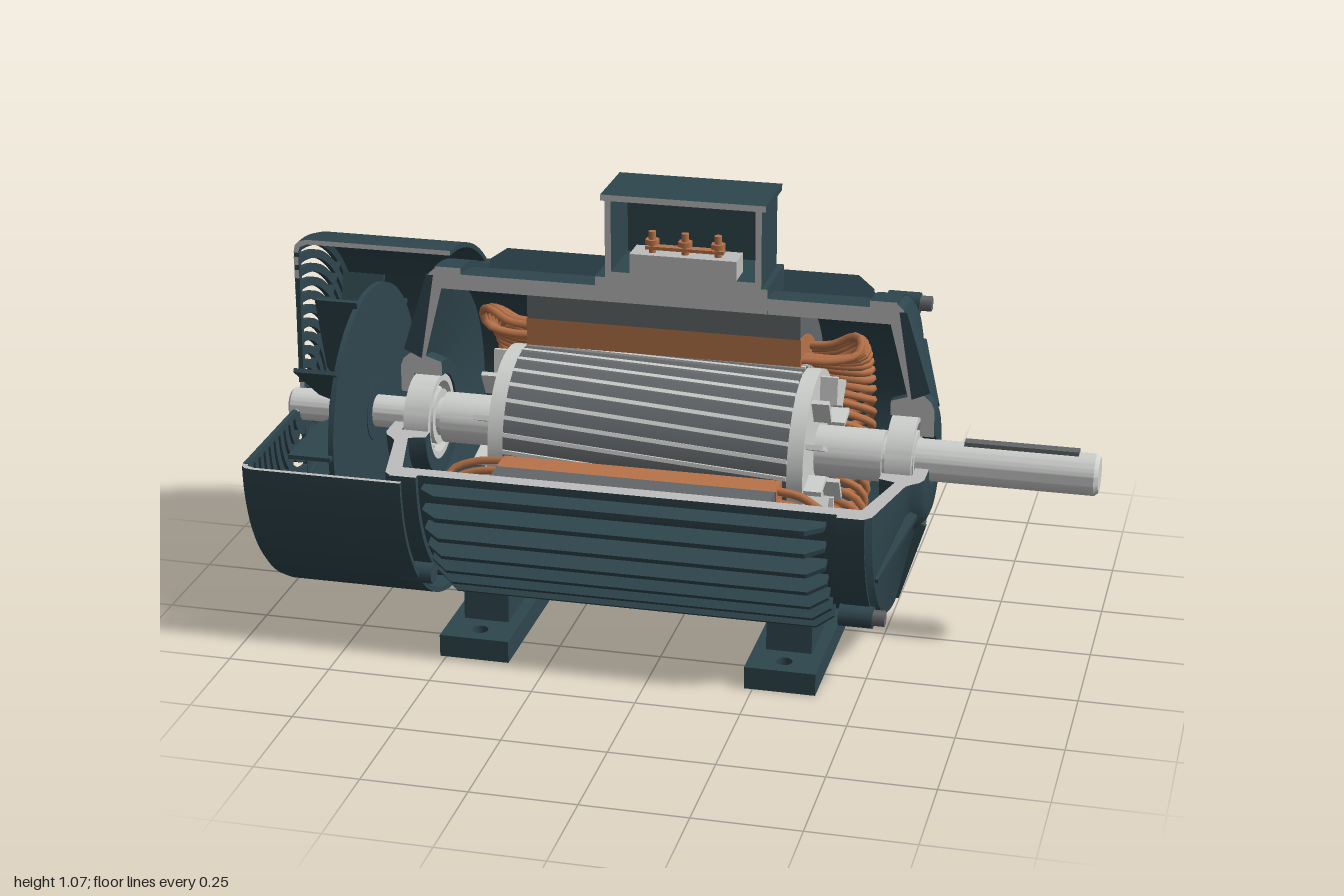
import * as THREE from 'three';
import { toCreasedNormals } from 'three/addons/utils/BufferGeometryUtils.js';

const AXIS = 0.467;              // height of the shaft centre line
const OPEN = Math.PI * 1.5;      // three quarters kept, front upper quarter cut away
const rad = THREE.MathUtils.degToRad;

function paint(name, color) {
  const m = new THREE.MeshStandardMaterial({ color });
  m.name = name;
  return m;
}

export function createModel() {
  const body = paint('dark teal paint', 0x2f464e);
  const cut = paint('cut metal', 0xbcbebc);
  const steel = paint('bright steel', 0xcfd1cf);
  const core = paint('lamination grey', 0x63676a);
  const copper = paint('copper', 0xb8734a);
  for (const m of [body, copper, core]) m.side = THREE.DoubleSide;

  const model = new THREE.Group();
  model.name = 'cutawayMotor';
  const drive = new THREE.Group(); // everything placed about the shaft line
  drive.name = 'motorOnAxis';
  drive.position.y = AXIS;
  model.add(drive);

  const add = (name, geo, mat, parent = drive) => {
    const mesh = new THREE.Mesh(geo, mat);
    mesh.name = name;
    parent.add(mesh);
    return mesh;
  };
  const mirror = pts => pts.map(([x, r]) => [-0.11 - x, r]);
  const rect = (x0, x1, r0, r1) => [[x0, r0], [x1, r0], [x1, r1], [x0, r1]];
  const shapeOf = (pts, s = 1) => new THREE.Shape(pts.map(([x, r]) => new THREE.Vector2(x, r * s)));

  // Closed [x, radius] profile turned about the shaft line
  function turn(name, pts, mat, angle = Math.PI * 2, segs = 64) {
    let p = pts.map(([x, r]) => new THREE.Vector2(r, x));
    if (THREE.ShapeUtils.area(p) < 0) p.reverse();
    p.push(p[0].clone());
    const g = new THREE.LatheGeometry(p, segs, 0, angle);
    g.rotateZ(-Math.PI / 2);
    return add(name, toCreasedNormals(g, 0.5), mat);
  }
  // The same over three quarters, with both cut faces closed
  function turnCut(name, pts, mat, capMat = cut) {
    turn(name, pts, mat, OPEN, 72);
    add(name + 'UprightCut', new THREE.ShapeGeometry(shapeOf(pts)), capMat);
    const flat = new THREE.ShapeGeometry(shapeOf(pts, -1));
    flat.rotateX(-Math.PI / 2);
    add(name + 'LevelCut', flat, capMat);
  }
  // Flat radial plate drawn in [x, radius] and swung to an angle
  function plate(name, pts, thick, deg, mat) {
    const g = new THREE.ExtrudeGeometry(shapeOf(pts), { depth: thick, bevelEnabled: false });
    g.translate(0, 0, -thick / 2);
    g.rotateX(rad(deg + 90));
    return add(name, g, mat);
  }
  const box = (name, x0, x1, y0, y1, z0, z1, mat) => {
    const g = new THREE.BoxGeometry(x1 - x0, y1 - y0, z1 - z0);
    g.translate((x0 + x1) / 2, (y0 + y1) / 2, (z0 + z1) / 2);
    return add(name, g, mat, model);
  };
  const at = (x, r, phi) => new THREE.Vector3(x, -r * Math.sin(phi), r * Math.cos(phi));

  // Frame with end flanges
  turnCut('frame', [[-0.62, 0.333], [-0.62, 0.388], [-0.555, 0.388], [-0.555, 0.372],
    [0.445, 0.372], [0.445, 0.388], [0.51, 0.388], [0.51, 0.333]], body);

  // Cooling fins
  const fin = [[-0.54, 0.36], [-0.54, 0.4], [-0.5, 0.43], [0.38, 0.43], [0.42, 0.4], [0.42, 0.36]];
  for (let a = 30; a <= 142; a += 8) {
    plate('coolingFin', fin, 0.012, 270 - a, body);
    if (a > 90) plate('coolingFin', fin, 0.012, a - 90, body);
  }

  // End shields with ribs, lugs and bolts
  const shield = [[0.495, 0.333], [0.511, 0.384], [0.525, 0.37], [0.568, 0.175], [0.58, 0.16],
    [0.597, 0.145], [0.605, 0.125], [0.605, 0.058], [0.572, 0.058], [0.572, 0.106],
    [0.5, 0.106], [0.5, 0.142], [0.54, 0.155]];
  const rib = [[0.515, 0.365], [0.533, 0.365], [0.594, 0.17], [0.55, 0.15]];
  for (const flip of [p => p, mirror]) {
    turnCut('endShield', flip(shield), body);
    for (const d of [30, 90, 150, 210, 269]) plate('shieldRib', flip(rib), 0.014, d, body);
    const s = flip([[1, 0]])[0][0] > 0 ? 1 : -1;
    for (const d of [45, 135, 225]) {
      const rod = (name, r, len, x, n, mat) => {
        const g = new THREE.CylinderGeometry(r, r, len, n);
        g.rotateZ(Math.PI / 2);
        add(name, g, mat).position.copy(at(-0.055 + s * (x + 0.055), 0.408, rad(d)));
      };
      rod('boltLug', 0.026, 0.08, 0.48, 16, body);
      rod('bolt', 0.019, 0.03, 0.533, 6, core);
    }
    // Bearing: inner race, balls and outer race
    turn('bearingInnerRace', flip(rect(0.505, 0.568, 0.045, 0.068)), steel);
    turn('bearingOuterRace', flip(rect(0.505, 0.568, 0.088, 0.105)), steel);
    for (let i = 0; i < 12; i++) {
      add('bearingBall', new THREE.SphereGeometry(0.014, 12, 8), steel)
        .position.copy(at(flip([[0.537, 0]])[0][0], 0.078, i * Math.PI / 6));
    }
  }

  // Fan cover with slotted rear grille
  turnCut('fanCover', [[-0.58, 0.43], [-0.945, 0.43], [-0.965, 0.425], [-0.976, 0.414], [-0.98, 0.395],
    [-0.968, 0.395], [-0.963, 0.41], [-0.945, 0.418], [-0.58, 0.418]], body);
  turnCut('grilleHub', rect(-0.98, -0.968, 0.042, 0.075), body);
  for (let r = 0.091; r < 0.39; r += 0.034) turnCut('grilleRing', rect(-0.98, -0.968, r, r + 0.021), body);
  for (let d = 1; d < 270; d += 44.6) plate('grilleSpoke', rect(-0.979, -0.967, 0.06, 0.4), 0.016, d, body);

  // Cooling fan
  turn('fanDisc', rect(-0.795, -0.782, 0.04, 0.318), body);
  turn('fanHub', rect(-0.88, -0.78, 0.038, 0.075), body);
  for (let i = 0; i < 10; i++) {
    plate('fanBlade', [[-0.89, 0.13], [-0.89, 0.335], [-0.785, 0.335], [-0.785, 0.07], [-0.86, 0.07]],
      0.01, i * 36, body);
  }

  // Stator core and windings
  turnCut('statorCore', rect(-0.39, 0.28, 0.275, 0.333), core, core);
  turnCut('statorWinding', rect(-0.392, 0.282, 0.207, 0.275), copper, copper);
  for (const s of [1, -1]) {
    for (let i = 0; i < 34; i++) {
      const p = 0.03 + i * 0.127;
      const path = [[0.33, 0.25, 0], [0.39, 0.255, 0.03], [0.445, 0.278, 0.1], [0.468, 0.268, 0.19],
        [0.462, 0.235, 0.28], [0.41, 0.22, 0.37], [0.33, 0.22, 0.42]]
        .map(([x, r, a]) => at(-0.055 + s * x, r, s > 0 ? p + a : p + 0.42 - a));
      add('endCoil', new THREE.TubeGeometry(new THREE.CatmullRomCurve3(path), 16, 0.01, 6), copper);
    }
  }

  // Rotor with skewed bars, end rings and stirring blades
  turn('rotorCore', rect(-0.4, 0.29, 0.04, 0.197), core);
  for (let i = 0; i < 30; i++) {
    const g = new THREE.BoxGeometry(0.69, 0.012, 0.01, 8, 1, 1);
    g.translate(-0.055, 0.196, 0);
    const pos = g.attributes.position;
    const v = new THREE.Vector3();
    const X = new THREE.Vector3(1, 0, 0);
    for (let k = 0; k < pos.count; k++) {
      v.fromBufferAttribute(pos, k).applyAxisAngle(X, i * Math.PI / 15 + 0.33 * pos.getX(k));
      pos.setXYZ(k, v.x, v.y, v.z);
    }
    g.computeVertexNormals();
    add('rotorBar', g, steel);
  }
  for (const flip of [p => p, mirror]) {
    turn('rotorEndRing', flip(rect(0.288, 0.328, 0.04, 0.195)), steel);
    for (let i = 0; i < 10; i++) plate('rotorBlade', flip(rect(0.32, 0.37, 0.115, 0.183)), 0.012, i * 36 + 12, steel);
  }

  // Shaft and key
  turn('shaft', [[-1, 0], [-1, 0.034], [-0.994, 0.04], [-0.7, 0.04], [-0.7, 0.047], [-0.6, 0.047], [-0.6, 0.062],
    [0.49, 0.062], [0.49, 0.05], [0.99, 0.05], [1, 0.042], [1, 0]], steel);
  box('shaftKey', 0.68, 0.95, AXIS + 0.03, AXIS + 0.058, -0.014, 0.014, core);

  // Terminal box, sliced at the middle plane
  const sliced = [body, body, body, body, cut, body];
  box('boxNeck', -0.22, 0.2, AXIS + 0.335, 0.862, -0.19, 0.001, sliced);
  box('boxFloor', -0.19, 0.18, 0.862, 0.877, -0.175, 0.001, sliced);
  box('boxSide', -0.195, -0.18, 0.862, 1.052, -0.175, 0.001, sliced);
  box('boxSide', 0.17, 0.185, 0.862, 1.052, -0.175, 0.001, sliced);
  box('boxBack', -0.19, 0.18, 0.862, 1.052, -0.175, -0.16, body);
  box('boxLid', -0.205, 0.195, 1.052, 1.067, -0.182, 0.001, sliced);
  box('terminalBlock', -0.135, 0.125, 0.877, 0.925, -0.07, 0.001, cut);
  for (const x of [-0.085, -0.005, 0.075]) {
    const g = new THREE.CylinderGeometry(0.009, 0.009, 0.055, 12);
    g.translate(x, 0.95, -0.025);
    add('terminalPost', g, copper, model);
    const nut = new THREE.CylinderGeometry(0.018, 0.018, 0.012, 6);
    nut.translate(x, 0.952, -0.025);
    add('terminalNut', nut, copper, model);
  }
  box('terminalLink', -0.1, 0.09, 0.934, 0.942, -0.036, -0.014, copper);

  // Feet: drilled plates and saddles
  for (const x of [-0.43, 0.315]) {
    const sole = new THREE.Shape([[-0.085, -0.367], [0.085, -0.367], [0.085, 0.367], [-0.085, 0.367]]
      .map(p => new THREE.Vector2(...p)));
    for (const z of [-0.315, 0.315]) {
      sole.holes.push(new THREE.Path().absarc(0, z, 0.02, 0, Math.PI * 2, true));
    }
    const g = new THREE.ExtrudeGeometry(sole, { depth: 0.055, bevelEnabled: false });
    g.rotateX(-Math.PI / 2);
    add('footPlate', g, body, model).position.x = x;

    const saddle = new THREE.Shape();
    saddle.moveTo(-0.262, 0.05);
    saddle.lineTo(0.262, 0.05);
    saddle.lineTo(0.252, 0.21);
    const a = Math.atan2(0.21 - AXIS, 0.252);
    saddle.absarc(0, AXIS, 0.36, a, -Math.PI - a, true);
    const s = new THREE.ExtrudeGeometry(saddle, { depth: 0.11, bevelEnabled: false, curveSegments: 24 });
    s.translate(0, 0, -0.055);
    s.rotateY(Math.PI / 2);
    add('footSaddle', s, body, model).position.x = x;
  }
  return model;
}
